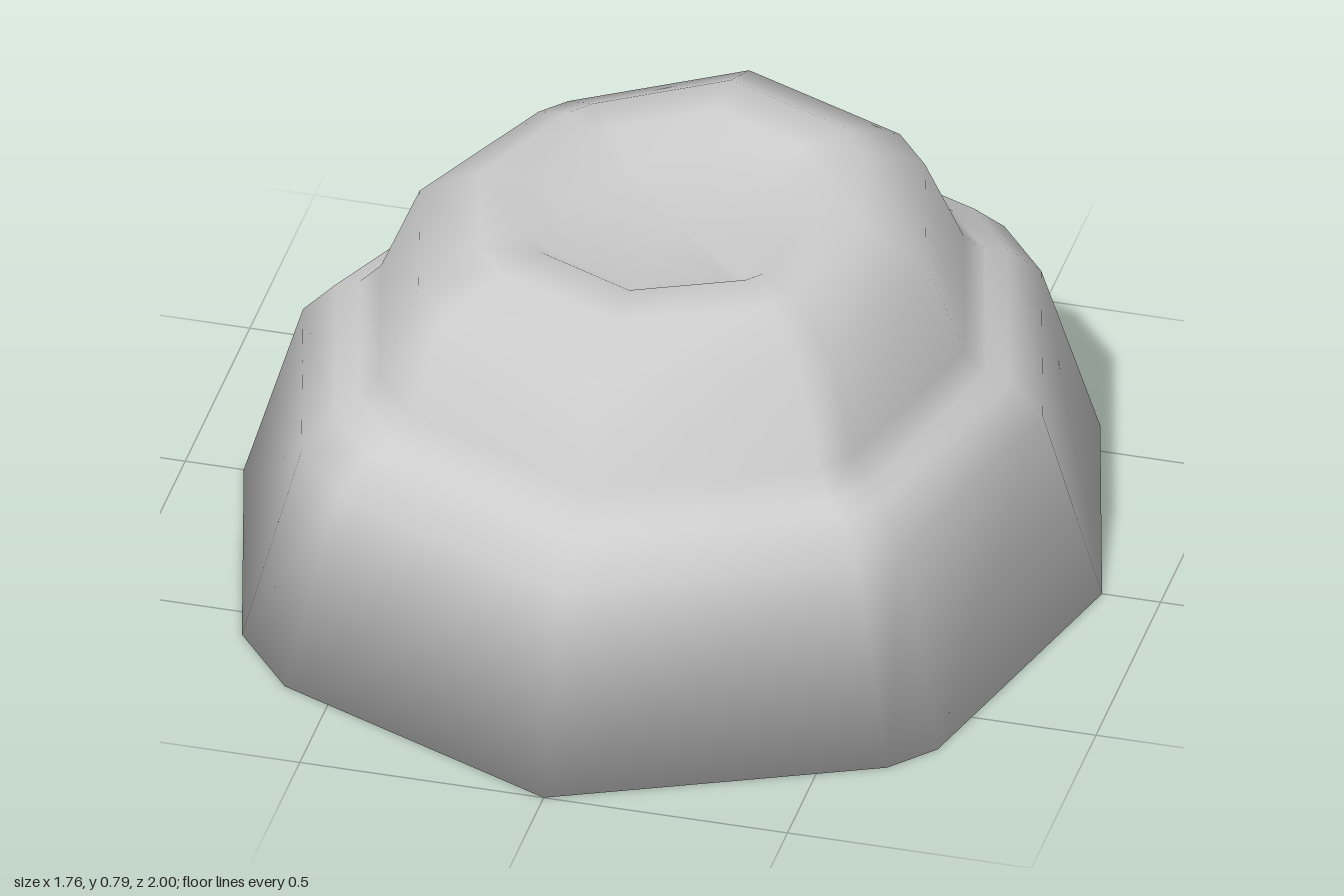
import * as THREE from 'three';

// Faceted plan outline (x, z), running from the back round the left side
const outline = [
  [0, -1], [0.59, -0.75], [0.72, -0.59], [0.88, 0], [0.71, 0.63], [0.63, 0.72],
  [0, 1], [-0.6, 0.74], [-0.73, 0.58], [-0.88, 0], [-0.62, -0.57], [-0.54, -0.66],
];

// Profile from the base up to the sunken floor: [outline scale, height]
const profile = [
  [1, 0], [0.862, 0.4], [0.785, 0.47], [0.73, 0.485], [0.68, 0.53],
  [0.59, 0.72], [0.45, 0.785], [0.34, 0.785], [0.26, 0.735],
];

// Joins scaled copies of the outline and closes both ends
function steppedMound() {
  const n = outline.length;
  const positions = [];
  const indices = [];
  for (const [scale, y] of profile) {
    for (const [x, z] of outline) positions.push(x * scale, y, z * scale);
  }
  const bottom = positions.length / 3;
  positions.push(0, 0, 0);
  const floor = bottom + 1;
  positions.push(0, profile.at(-1)[1], 0);

  const last = (profile.length - 1) * n;
  for (let i = 0; i < n; i++) {
    const j = (i + 1) % n;
    for (let r = 0; r < profile.length - 1; r++) {
      const a = r * n + i, b = r * n + j;
      indices.push(a, a + n, b, b, a + n, b + n);
    }
    indices.push(bottom, i, j); // underside
    indices.push(floor, last + j, last + i); // sunken floor
  }

  const geometry = new THREE.BufferGeometry();
  geometry.setAttribute('position', new THREE.Float32BufferAttribute(positions, 3));
  geometry.setIndex(indices);
  geometry.computeVertexNormals();
  return geometry;
}

export function createModel() {
  const group = new THREE.Group();
  group.name = 'steppedRock';

  const material = new THREE.MeshStandardMaterial({ color: 0xcccccc });
  const mound = new THREE.Mesh(steppedMound(), material);
  mound.name = 'steppedMound';
  group.add(mound);

  return group;
}
